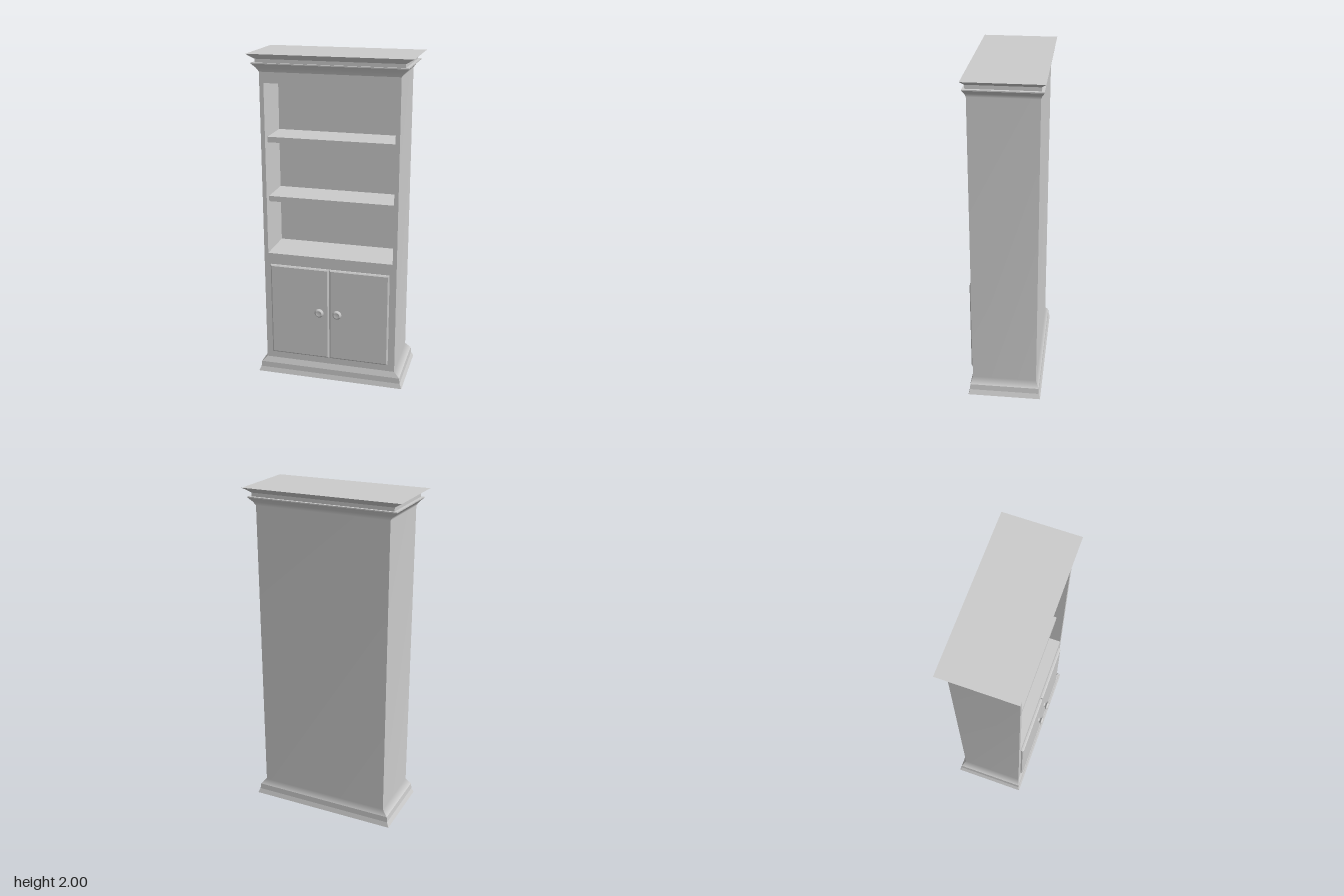
import * as THREE from 'three';

const material = new THREE.MeshStandardMaterial({ color: 0xcccccc });
const BACK = -0.205, FRONT = 0.185, HALF = 0.409;

function add(parent, name, geometry, x = 0, y = 0, z = 0, mat = material) {
  const mesh = new THREE.Mesh(geometry, mat);
  mesh.name = name;
  mesh.position.set(x, y, z);
  parent.add(mesh);
  return mesh;
}

// Corners of a rectangular ring, counter-clockwise from above
const corners = ([y, hx, front, back]) => [
  [-hx, y, front], [hx, y, front], [hx, y, back], [-hx, y, back],
];

// Four walls running up through the rings: sharp corners, smooth up the profile
function walls(rings, sides = [0, 1, 2, 3]) {
  const pos = [], index = [];
  for (const s of sides) {
    const base = pos.length / 3;
    rings.forEach((ring, i) => {
      const c = corners(ring);
      pos.push(...c[s], ...c[(s + 1) % 4]);
      if (i) {
        const a = base + 2 * (i - 1);
        index.push(a, a + 1, a + 3, a, a + 3, a + 2);
      }
    });
  }
  const g = new THREE.BufferGeometry();
  g.setAttribute('position', new THREE.Float32BufferAttribute(pos, 3));
  g.setIndex(index);
  g.computeVertexNormals();
  return g;
}

function rectangle(x0, y0, x1, y1, Type = THREE.Shape) {
  return new Type([[x0, y0], [x1, y0], [x1, y1], [x0, y1]].map(p => new THREE.Vector2(...p)));
}

function cap(parent, name, [y, hx, front, back], up) {
  const g = new THREE.PlaneGeometry(2 * hx, front - back).rotateX(up ? -Math.PI / 2 : Math.PI / 2);
  add(parent, name, g, 0, y, (front + back) / 2);
}

export function createModel() {
  const group = new THREE.Group();

  // Outline rings: height, half width, front z, back z
  const foot = [0, 0.46, 0.208, -0.235];
  const plinthLow = [0.03, 0.447, 0.199, -0.226];
  const plinthHigh = [0.065, 0.443, 0.198, -0.224];
  const bodyLow = [0.1, HALF, FRONT, BACK];
  const bodyHigh = [1.9, HALF, FRONT, BACK];
  const cove = [1.922, 0.424, 0.19, -0.212];
  const lip = [1.945, 0.45, 0.201, -0.225];
  const lipTop = [1.951, 0.45, 0.201, -0.225];
  const neckLow = [1.951, 0.432, 0.188, -0.209];
  const neckHigh = [1.972, 0.432, 0.188, -0.209];
  const crown = [2, 0.48, 0.207, -0.235];

  // Stepped plinth
  add(group, 'plinthFoot', walls([foot, plinthLow]));
  add(group, 'plinthBand', walls([plinthLow, plinthHigh]));
  cap(group, 'underside', foot, false);

  // Sides and back flow into the mouldings; the front has its own frame
  add(group, 'carcass', walls([plinthHigh, bodyLow, bodyHigh, cove, lip], [1, 2, 3]));
  add(group, 'frontPlinthSlope', walls([plinthHigh, bodyLow], [0]));
  add(group, 'frontCove', walls([bodyHigh, cove, lip], [0]));

  // Cornice
  add(group, 'corniceLip', walls([lip, lipTop]));
  cap(group, 'corniceLedge', lipTop, true);
  add(group, 'corniceNeck', walls([neckLow, neckHigh]));
  add(group, 'corniceCrown', walls([neckHigh, crown]));
  cap(group, 'top', crown, true);

  // Front frame around the open niche
  const niche = { half: 0.384, low: 0.805, high: 1.837, back: -0.075 };
  const frame = rectangle(-HALF, 0.1, HALF, 1.9);
  frame.holes.push(rectangle(-niche.half, niche.low, niche.half, niche.high, THREE.Path));
  add(group, 'frontFrame', new THREE.ShapeGeometry(frame), 0, 0, FRONT);

  // Niche lining, facing inwards
  const w = 2 * niche.half, h = niche.high - niche.low, d = FRONT - niche.back;
  const midY = (niche.high + niche.low) / 2, midZ = (FRONT + niche.back) / 2;
  const lining = new THREE.Group();
  lining.name = 'nicheLining';
  group.add(lining);
  add(lining, 'nicheBack', new THREE.PlaneGeometry(w, h), 0, midY, niche.back);
  for (const s of [-1, 1]) {
    add(lining, s < 0 ? 'nicheRight' : 'nicheLeft',
      new THREE.PlaneGeometry(d, h).rotateY(-s * Math.PI / 2), s * niche.half, midY, midZ);
    add(lining, s < 0 ? 'nicheFloor' : 'nicheCeiling',
      new THREE.PlaneGeometry(w, d).rotateX(s * Math.PI / 2), 0, s < 0 ? niche.low : niche.high, midZ);
  }

  // Shelves, set back from the frame
  for (const y of [1.138, 1.5]) {
    add(group, 'shelf', new THREE.BoxGeometry(w, 0.033, 0.217), 0, y, niche.back + 0.1085);
  }

  // Bevelled doors with turned knobs
  const bevel = 0.008;
  const knobProfile = [[0.016, 0], [0.012, 0.008], [0.014, 0.013], [0.028, 0.02], [0.028, 0.023],
    [0.019, 0.033], [0.016, 0.033], [0.013, 0.031], [0, 0.031]].map(p => new THREE.Vector2(...p));
  for (const s of [-1, 1]) {
    const door = new THREE.Group();
    door.name = s < 0 ? 'rightDoor' : 'leftDoor';
    group.add(door);
    const [x0, x1] = s < 0 ? [-0.368, -0.002] : [0.002, 0.368];
    const panel = new THREE.ExtrudeGeometry(
      rectangle(x0 + bevel, 0.145 + bevel, x1 - bevel, 0.735 - bevel),
      { depth: 0.009, bevelEnabled: true, bevelSegments: 1, bevelSize: bevel, bevelThickness: 0.006 });
    add(door, 'doorPanel', panel, 0, 0, FRONT);
    const knob = new THREE.LatheGeometry(knobProfile, 24).rotateX(Math.PI / 2);
    add(door, 'knob', knob, s * 0.056, 0.457, 0.2);
  }
  return group;
}
